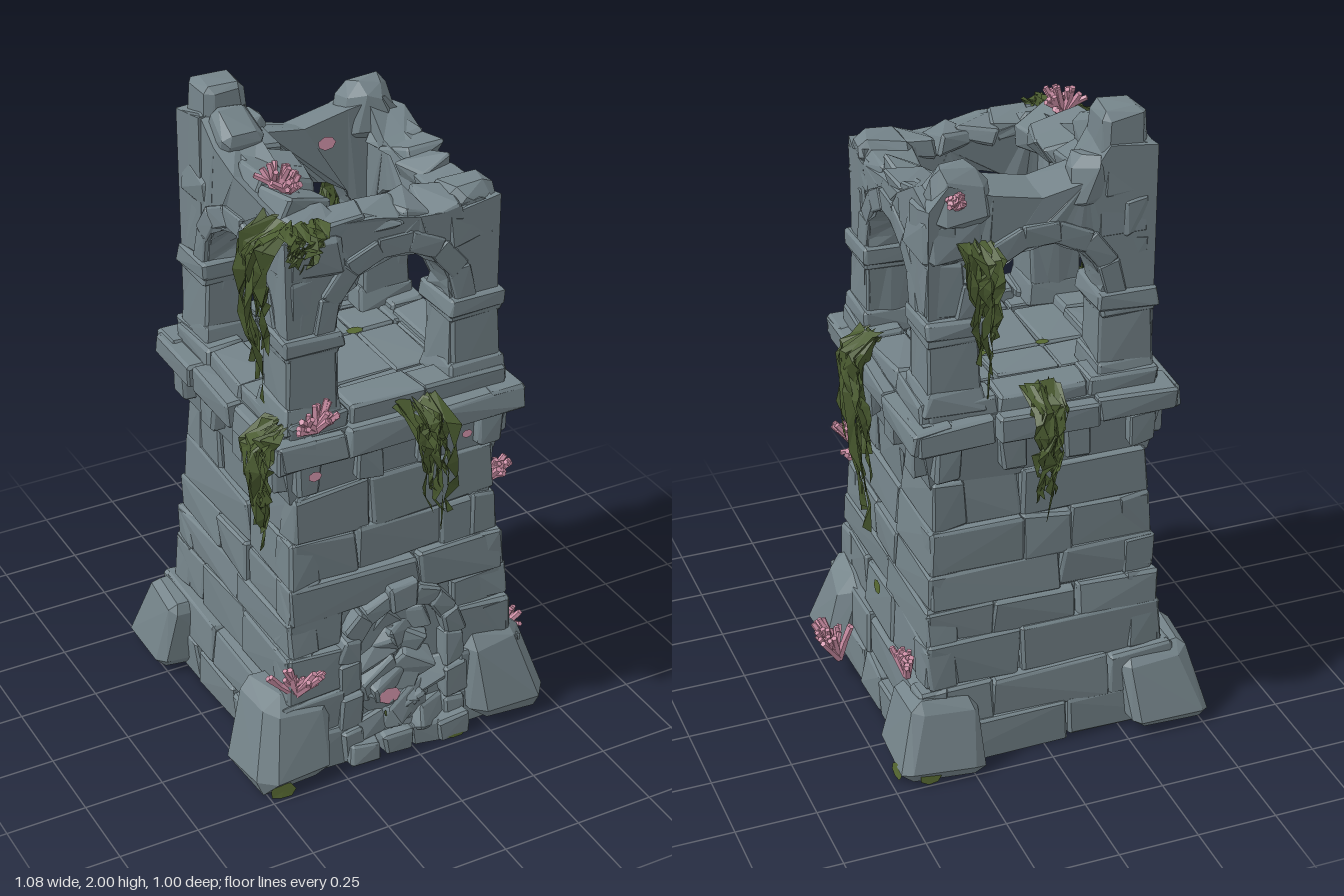
import * as THREE from 'three';
import { mergeGeometries } from 'three/addons/utils/BufferGeometryUtils.js';
import { ConvexGeometry } from 'three/addons/geometries/ConvexGeometry.js';

export function createModel() {
  const model = new THREE.Group();
  const mat = (name, color) => Object.assign(new THREE.MeshStandardMaterial({ color }), { name });
  const stone = mat('stone', 0x75848a), coralPink = mat('coral', 0xcf91a8);
  const weed = mat('seaweed', 0x4a5b30), moss = mat('moss', 0x566831);
  weed.side = moss.side = THREE.DoubleSide;

  // seeded random numbers
  let seed = 7;
  const rnd = () => (seed = (seed * 16807) % 2147483647) / 2147483647;
  const rr = (a, b) => a + (b - a) * rnd();

  // merges pieces into one named, flat-shaded mesh that stays above the ground
  const add = (name, pieces, material) => {
    const geo = mergeGeometries(pieces.map((g) => {
      const n = g.index ? g.toNonIndexed() : g;
      n.deleteAttribute('uv');
      const p = n.attributes.position;
      for (let i = 0; i < p.count; i++) if (p.getY(i) < 0) p.setY(i, 0);
      n.computeVertexNormals();
      n.clearGroups();
      return n;
    }));
    const mesh = new THREE.Mesh(geo, material);
    mesh.name = name;
    model.add(mesh);
  };

  // rough chamfered stone, centred on x y z
  const block = (x, y, z, w, h, d, { j = 0.008, b = 0.008, top = 1, rot = null } = {}) => {
    const pts = [];
    for (const sx of [-1, 1]) for (const sy of [-1, 1]) for (const sz of [-1, 1]) {
      const s = sy > 0 ? top : 1;
      const c = [sx * w / 2 * s + rr(-j, j), sy * h / 2 + rr(-j, j), sz * d / 2 * s + rr(-j, j)];
      for (let k = 0; k < 3; k++) {
        pts.push(new THREE.Vector3(...c.map((v, i) => (i === k ? v : v - [sx, sy, sz][i] * b * rr(0.6, 1.4)))));
      }
    }
    const g = new ConvexGeometry(pts);
    if (rot) g.rotateX(rot[0]).rotateY(rot[1]).rotateZ(rot[2]);
    return g.translate(x, y, z);
  };
  // sides: 0 front, 1 +x, 2 back, 3 -x
  const CX = -0.015;
  const onSide = (g, k) => g.rotateY(k * Math.PI / 2).translate(CX, 0, 0);
  const frustum = (r0, r1, y0, y1) => new THREE.CylinderGeometry(r1 * Math.SQRT2, r0 * Math.SQRT2, y1 - y0, 4)
    .rotateY(Math.PI / 4).translate(CX, (y0 + y1) / 2, 0);

  // tapering core with courses of large stones laid round it, a little narrower in x
  add('towerCore', [frustum(0.395, 0.325, 0, 0.96).scale(0.95, 1, 1), frustum(0.34, 0.37, 0.92, 1.09),
    frustum(0.37, 0.37, 1.07, 1.15)], stone);
  const courses = [0, 0.13, 0.26, 0.41, 0.52, 0.64, 0.78, 0.94];
  const bricks = [];
  for (let c = 0; c < courses.length - 1; c++) {
    const y0 = courses[c], h = courses[c + 1] - y0;
    const halfZ = c < 2 ? 0.425 - c * 0.012 : 0.4 - (y0 - 0.26) * 0.09;
    const halfX = c < 2 ? halfZ : halfZ - 0.02;
    for (let k = 0; k < 4; k++) {
      const [along, out] = k % 2 ? [halfZ, halfX] : [halfX, halfZ];
      const spans = k === 0 && y0 < 0.5 ? [[-along, -0.19, 1], [0.19, along, 1]] : [[-along, along, 2 + (c + k) % 2]];
      for (const [a, b, n] of spans) {
        let u = a;
        for (let i = 0; i < n; i++) {
          const v = i === n - 1 ? b : a + (b - a) * (i + 1 + rr(-0.25, 0.25)) / n;
          bricks.push(onSide(block((u + v) / 2, y0 + h / 2, out - 0.05 + rr(-0.006, 0.006),
            v - u, h + 0.004, 0.1, { top: 0.985, j: 0.009 }), k));
          u = v;
        }
      }
    }
  }
  add('wallStones', bricks, stone);

  // sloping corner buttresses, the front pair more worn
  const butts = [];
  [[-1, 1, 0.28, 0.045], [1, 1, 0.3, 0.05], [-1, -1, 0.25, 0.03], [1, -1, 0.24, 0.03]].forEach(([sx, sz, h, b]) => {
    const g = block(0, h / 2, 0, 0.265, h, 0.265, { j: 0.012, b, top: 0.84 });
    const p = g.attributes.position;
    for (let i = 0; i < p.count; i++) {
      const y = p.getY(i) - h * 0.2;
      p.setX(i, p.getX(i) - sx * y * 0.14);
      p.setZ(i, p.getZ(i) - sz * y * 0.14);
    }
    butts.push(g.translate(-0.032 + sx * 0.367, 0, -0.005 + sz * 0.355));
  });
  add('buttresses', butts, stone);

  // blocked doorway: jambs, arch stones and rubble
  const door = [];
  for (const s of [-1, 1]) for (let i = 0; i < 3; i++) {
    door.push(block(CX + s * 0.178, 0.06 + i * 0.118, 0.39 - i * 0.01, 0.07 + 0.01 * (i % 2), 0.118, 0.1));
  }
  for (let i = 0; i < 7; i++) {
    const a = Math.PI * (i + 0.5) / 7, key = i === 3 ? 0.025 : 0;
    door.push(block(CX + Math.cos(a) * 0.178, 0.35 + Math.sin(a) * (0.175 + key / 3), 0.37 - Math.sin(a) * 0.012 + key / 3,
      0.065 + key, 0.09, 0.1, { rot: [0, 0, a] }));
  }
  add('doorArch', door, stone);
  const rubble = [];
  for (let i = 0; i < 20; i++) {
    const y = 0.04 + 0.4 * i / 20, w = y < 0.34 ? 0.12 : 0.07;
    rubble.push(block(CX + rr(-w, w), y, 0.415 - y * 0.19 + rr(-0.015, 0.01), rr(0.1, 0.17), rr(0.07, 0.11), rr(0.06, 0.1),
      { j: 0.012, rot: [rr(-0.6, 0.6), rr(-0.5, 0.5), rr(-0.7, 0.7)] }));
  }
  for (const x of [-0.17, -0.05, 0.05, 0.14]) rubble.push(block(x, 0.035, 0.42, 0.1, 0.08, 0.09, { j: 0.01 }));
  add('doorRubble', rubble, stone);

  // cornice with dentils, ledge and inner kerb
  const cornice = [];
  for (let k = 0; k < 4; k++) {
    for (let i = 0; i < 4; i++) {
      cornice.push(onSide(block(-0.3 + i * 0.2, 1.02, 0.364, 0.08, 0.11, 0.05, { j: 0.005 }), k));
    }
    const cuts = [-0.4, -0.16 + rr(-0.06, 0.06), 0.12 + rr(-0.06, 0.06), 0.4];
    for (let i = 0; i < 3; i++) {
      const u = (cuts[i] + cuts[i + 1]) / 2, w = cuts[i + 1] - cuts[i];
      cornice.push(onSide(block(u, 1.11, 0.348 + rr(-0.006, 0.008), w, 0.08, 0.12), k));
      cornice.push(onSide(block(u * 0.88, 1.168, 0.308, w * 0.88, 0.06 + rr(0, 0.02), 0.12), k));
    }
  }
  add('cornice', cornice, stone);

  // paved belfry floor
  const floor = [], cols = [-0.33, -0.13, 0.075, 0.215, 0.31], rows = [-0.32, -0.215, -0.065, 0.19, 0.32];
  for (let i = 0; i < 4; i++) for (let j = 0; j < 4; j++) {
    floor.push(block((cols[i] + cols[i + 1]) / 2, 1.15, (rows[j] + rows[j + 1]) / 2, cols[i + 1] - cols[i] - 0.006,
      0.05 + rr(0, 0.012), rows[j + 1] - rows[j] - 0.006, { j: 0.004, b: 0.006 }));
  }
  add('floorSlabs', floor, stone);

  // belfry walls: an arch under a broken top edge on each side
  const R = 0.185, SPRING = 1.45;
  const tops = [
    [[-0.34, 1.74], [-0.2, 1.77], [-0.06, 1.76], [0.08, 1.73], [0.22, 1.74], [0.34, 1.75]],
    [[-0.33, 1.74], [-0.2, 1.73], [-0.05, 1.74], [0.1, 1.77], [0.2, 1.82], [0.33, 1.8]],
    [[-0.34, 1.78], [-0.27, 1.85], [-0.14, 1.82], [0, 1.79], [0.14, 1.82], [0.2, 1.92], [0.34, 1.9]],
    [[-0.33, 1.9], [-0.22, 1.93], [-0.1, 1.87], [0.02, 1.82], [0.2, 1.79], [0.33, 1.74]],
  ];
  const walls = [], trim = [];
  tops.forEach((top, k) => {
    const e = top[0][0];
    const s = new THREE.Shape();
    s.moveTo(e, 1.14).lineTo(-R, 1.14).lineTo(-R, SPRING);
    s.absarc(0, SPRING, R, Math.PI, 0, true);
    s.lineTo(R, 1.14).lineTo(-e, 1.14);
    [...top].reverse().forEach(([x, y]) => s.lineTo(x, y));
    const g = new THREE.ExtrudeGeometry(s, { depth: 0.13, steps: 2, bevelEnabled: false, curveSegments: 8 });
    // weathering: shift each corner by a rule of its position
    const p = g.attributes.position;
    for (let i = 0; i < p.count; i++) {
      const x = p.getX(i), y = p.getY(i), z = p.getZ(i), t = x * 91 + y * 57 + z * 133 + k;
      p.setXYZ(i, x + 0.006 * Math.sin(t), y + (y > 1.68 ? 0.014 : 0.004) * Math.sin(t * 1.7), z + 0.007 * Math.cos(t * 2.3));
    }
    walls.push(onSide(g.translate(0, 0, 0.205), k));
    // arch stones around the opening
    for (let i = 0; i < 7; i++) {
      const a = Math.PI * (i + 0.5) / 7;
      trim.push(onSide(block(Math.cos(a) * 0.222, SPRING + Math.sin(a) * 0.222, 0.28, 0.066, 0.112, 0.13,
        { j: 0.003, b: 0.005, rot: [0, 0, a] }), k));
    }
    // facing stones in the spandrels
    for (const u of [-0.25, 0.25]) {
      trim.push(onSide(block(u, 1.685, 0.296, 0.17, 0.12, 0.09, { j: 0.012, b: 0.015 }), k));
      trim.push(onSide(block(u * 1.1, 1.54, 0.295, 0.1, 0.17, 0.08), k));
    }
  });
  add('belfryWalls', walls, stone);

  // corner piers with foot and impost mouldings
  for (const sx of [-1, 1]) for (const sz of [-1, 1]) {
    const x = CX + sx * 0.265, z = sz * 0.265;
    trim.push(block(x, 1.3, z, 0.165, 0.26, 0.165, { top: 0.94 }));
    trim.push(block(x, 1.205, z, 0.19, 0.08, 0.19, { top: 0.9 }));
    trim.push(block(x, 1.43, z, 0.185, 0.06, 0.185, { j: 0.006 }));
    trim.push(block(x, 1.4, z, 0.17, 0.04, 0.17, { j: 0.004 }));
  }
  add('belfryTrim', trim, stone);

  // broken masonry left on the wall tops
  const ruins = [
    block(-0.27, 1.87, -0.26, 0.155, 0.256, 0.16, { j: 0.003, b: 0.022, top: 0.84 }),
    block(-0.17, 1.8, -0.27, 0.13, 0.13, 0.13, { j: 0.015, b: 0.03 }),
    block(-0.27, 1.855, -0.15, 0.13, 0.15, 0.15, { j: 0.012, b: 0.02, rot: [0.4, 0, 0] }),
    block(0.21, 1.81, -0.265, 0.18, 0.17, 0.16, { j: 0.015, b: 0.035, top: 0.85 }),
    block(0.25, 1.74, 0.26, 0.14, 0.08, 0.14, { j: 0.015, b: 0.03 }),
    block(-0.25, 1.75, 0.26, 0.16, 0.07, 0.15, { j: 0.015, b: 0.03 }),
  ];
  for (let i = 0; i < 4; i++) {
    const u = -0.15 + i * 0.1;
    ruins.push(block(-0.235, 1.79 - u * 0.12, u, 0.18, 0.07, 0.12, { j: 0.018, rot: [0, rr(-0.3, 0.3), -0.25] }));
    ruins.push(block(0.25, 1.74 - u * 0.12, u, 0.12, 0.06, 0.12, { j: 0.018, rot: [0, rr(-0.3, 0.3), 0.15] }));
    ruins.push(block(u, 1.74 - u * 0.08, 0.265, 0.12, 0.05, 0.13, { j: 0.015, rot: [0.1, rr(-0.3, 0.3), 0] }));
  }
  add('brokenMasonry', ruins, stone);

  // hanging seaweed: bulging ragged ribbons [side, along, top, bottom, outward, spread, drift]
  const vines = [
    [0, 0.05, 1.17, 0.73, 0.415, 0.13, 0.06], [1, -0.12, 1.2, 0.56, 0.395, 0.13, 0.06], [2, -0.01, 1.2, 0.77, 0.41, 0.1, 0],
    [2, -0.2, 1.68, 1.19, 0.345, 0.1, 0.03], [3, 0.25, 1.77, 1.2, 0.36, 0.14, -0.03], [3, 0.33, 1.18, 0.78, 0.415, 0.1, 0],
    [0, -0.28, 1.77, 1.64, 0.335, 0.13, -0.02],
  ];
  const ribbons = [];
  for (const [k, u, y0, y1, z, spread, drift] of vines) for (let n = 0; n < 13; n++) {
    const f = (n + 0.5) / 13 - 0.5, len = (y0 - y1) * (n === 8 ? 1 : rr(0.45, 0.92)), out = rr(-0.005, 0.06);
    const g = new THREE.PlaneGeometry(1, 1, 1, 7), p = g.attributes.position, twist = rr(-1.2, 1.2);
    for (let i = 0; i < p.count; i++) {
      const t = 0.5 - p.getY(i), w = p.getX(i) * 0.06 * (1 - t * 0.7) * (0.65 + 0.35 * Math.sin(t * 20 + n));
      const bulge = t < 0.1 ? -0.05 : out * Math.sin(Math.PI * Math.min(1, t + 0.15));
      p.setXYZ(i, u + f * spread * (1 - t * 0.4) + drift * t + w * Math.cos(twist) + 0.01 * Math.sin(t * 14 + n * 2),
        y0 + 0.015 - t * len + rr(-0.015, 0.015), z + bulge + w * Math.sin(twist) + rr(-0.005, 0.02));
    }
    ribbons.push(onSide(g, k));
  }
  add('hangingSeaweed', ribbons, weed);

  // branching coral clumps [position, growth direction, spray along each axis, size]
  const clumps = [
    [[-0.28, 1.8, 0.15], [0, 0.9, 0], [1, 0.3, 1], 0.1], [[-0.29, 1.175, 0.38], [0, 0.5, 0.1], [1.2, 0.4, 0.3], 0.095],
    [[-0.37, 0.29, 0.395], [0, 0.8, 0.2], [1, 0.5, 0.4], 0.12], [[0.465, 0.06, 0.15], [0.25, 1, 0], [0.5, 0.4, 0.5], 0.16],
    [[0.355, 0.76, 0.265], [0.4, 0.5, 0], [0.3, 0.5, 1.2], 0.095], [[0.39, 0.26, -0.29], [0.15, 1, 0], [0.2, 0.3, 0.6], 0.105],
    [[0.24, 1.8, -0.34], [0.1, 0.6, -0.3], [0.6, 0.5, 0.3], 0.045],
  ];
  const up = new THREE.Vector3(0, 1, 0), twigs = [];
  const twig = (from, dir, len, r) => {
    twigs.push(new THREE.CylinderGeometry(r * 0.75, r, len, 5).translate(0, len / 2, 0)
      .applyQuaternion(new THREE.Quaternion().setFromUnitVectors(up, dir)).translate(from.x, from.y, from.z));
  };
  for (const [pos, dir, spread, size] of clumps) for (let n = 0; n < 13; n++) {
    const spray = (d) => d.clone().add(new THREE.Vector3(...spread.map((s) => rr(-s, s)))).normalize();
    const base = new THREE.Vector3(...pos), d = spray(new THREE.Vector3(...dir));
    const len = size * rr(0.55, 1);
    twig(base, d, len, 0.013);
    twig(base.clone().addScaledVector(d, len * 0.55), spray(d), len * 0.5, 0.011);
  }
  add('coralClumps', twigs, coralPink);

  // thin growths on the stones [position, radius, side, or null for flat on the floor]
  const patches = (list) => list.map(([p, r, k]) => {
    const g = new THREE.CircleGeometry(r, 7).scale(1, 0.7, 1);
    return (k === null ? g.rotateX(-Math.PI / 2) : g.rotateX(-0.15).rotateY(k * Math.PI / 2)).translate(...p);
  });
  add('mossPatches', patches([[[-0.46, 0.02, 0.483], 0.042, -0.05], [[-0.13, 1.183, -0.065], 0.022, null],
    [[0.075, 1.183, -0.065], 0.028, null], [[0.14, 0.018, 0.472], 0.035, 0], [[-0.07, 0.15, 0.44], 0.025, 0],
    [[0.382, 0.4, 0], 0.03, 1], [[0.473, 0.02, -0.42], 0.035, 1.05], [[0.39, 0.025, -0.492], 0.035, 2]]), moss);
  add('pinkPatches', patches([[[-0.3, 1.03, 0.393], 0.022, 0], [[0.2, 1.03, 0.393], 0.018, 0],
    [[-0.075, 0.21, 0.44], 0.038, 0], [[0.05, 1.75, -0.192], 0.03, 0]]), coralPink);

  return model;
}
